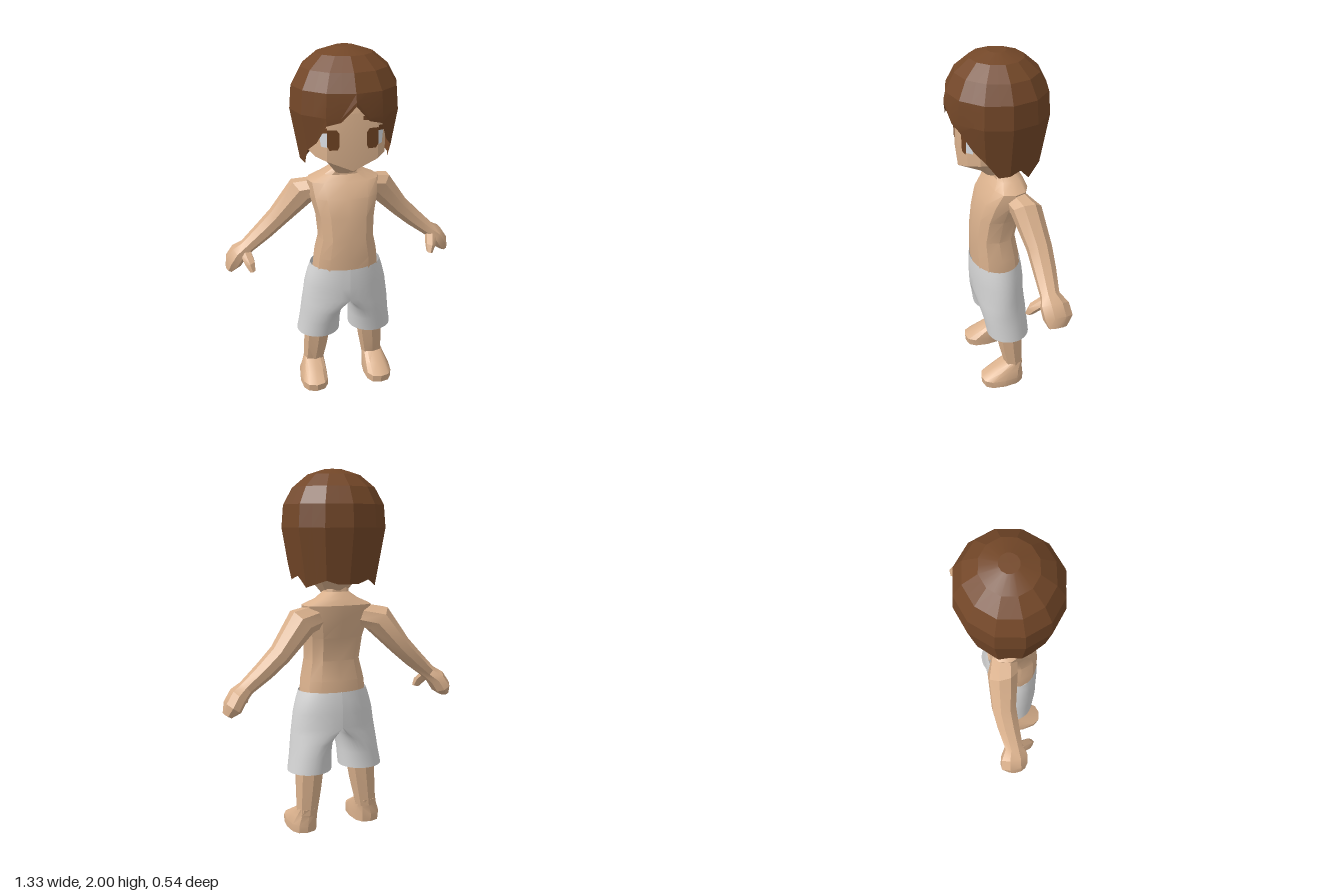
import * as THREE from 'three';
import { toCreasedNormals } from 'three/addons/utils/BufferGeometryUtils.js';

const material = (name, color, side = THREE.FrontSide) => {
  const m = new THREE.MeshStandardMaterial({ color, side });
  m.name = name;
  return m;
};
const softPow = (v, e) => Math.sign(v) * Math.pow(Math.abs(v), e);

// Horizontal cross-section; e below 1 makes it boxier
function ring(y, cx, rx, cz, rz, n = 12, e = 0.75) {
  return Array.from({ length: n }, (_, i) => {
    const a = (i / n) * Math.PI * 2;
    return [cx + rx * softPow(Math.cos(a), e), y, cz - rz * softPow(Math.sin(a), e)];
  });
}

// Cross-section square to a direction in the xy plane (angle in radians)
function limbRing([x, y, z], angle, ru, rv, n = 8) {
  const ux = -Math.sin(angle), uy = Math.cos(angle);
  return Array.from({ length: n }, (_, i) => {
    const a = ((i + 0.5) / n) * Math.PI * 2, u = ru * Math.cos(a);
    return [x + ux * u, y + uy * u, z + rv * Math.sin(a)];
  });
}

// Mirrors across x when side is -1, then sets normals
function finish(geo, crease, side = 1) {
  if (side < 0) {
    geo.scale(-1, 1, 1);
    const ix = geo.index.array;
    for (let i = 0; i < ix.length; i += 3) [ix[i + 1], ix[i + 2]] = [ix[i + 2], ix[i + 1]];
  }
  const flat = geo.toNonIndexed();
  flat.deleteAttribute('uv');
  flat.computeVertexNormals();
  return crease > 0 ? toCreasedNormals(flat, crease) : flat;
}

// Skins a list of rings, with optional fan caps
function loft(rings, { crease = 0.5, side = 1, bottom = true, top = true } = {}) {
  const n = rings[0].length, pos = rings.flat(2), index = [];
  for (let i = 0; i < rings.length - 1; i++)
    for (let j = 0; j < n; j++) {
      const a = i * n + j, b = i * n + ((j + 1) % n);
      index.push(a, b, b + n, a, b + n, a + n);
    }
  const cap = (row, up) => {
    const c = pos.length / 3;
    for (let k = 0; k < 3; k++) pos.push(rings[row].reduce((s, p) => s + p[k], 0) / n);
    for (let j = 0; j < n; j++) {
      const a = row * n + j, b = row * n + ((j + 1) % n);
      index.push(...(up ? [a, b, c] : [b, a, c]));
    }
  };
  if (bottom) cap(0, false);
  if (top) cap(rings.length - 1, true);
  const geo = new THREE.BufferGeometry();
  geo.setAttribute('position', new THREE.Float32BufferAttribute(pos, 3));
  geo.setIndex(index);
  return finish(geo, crease, side);
}

// Front of the face: two flat facets on each side
const faceZ = (x) => (x < 0.132 ? 0.21 - (x / 0.132) * 0.017 : 0.193 - ((x - 0.132) / 0.051) * 0.054);

// Thin painted patch lying on the face
function decal(points, side, lift = 0.004) {
  const geo = new THREE.ShapeGeometry(new THREE.Shape(points.map((p) => new THREE.Vector2(...p))));
  const p = geo.attributes.position;
  for (let i = 0; i < p.count; i++) p.setZ(i, faceZ(p.getX(i)) + lift);
  return finish(geo, 0, side);
}

function headGeometry() {
  const row = (y, rx, rz, drop = 0) =>
    ring(y, 0, rx, 0, rz, 12, 0.6).map(([x, yy, z]) => [
      x, yy + drop * Math.min(1, Math.abs(x) / (rx * 0.85)), z < 0 ? z * 0.85 : z]);
  return loft([
    row(1.34, 0.06, 0.07), row(1.37, 0.12, 0.14, 0.05), row(1.4, 0.2, 0.21, 0.07),
    row(1.7, 0.2, 0.21), row(1.85, 0.16, 0.16),
  ], { crease: 0.35 });
}

// Dome of hair whose lower rim is cut into locks, listed from front to back
function hairGeometry() {
  const rim = [1.75, 1.67, 1.65, 1.55, 1.5, 1.41, 1.42, 1.44, 1.38, 1.4, 1.42, 1.4, 1.4];
  const n = 24;
  const row = (fn) => Array.from({ length: n }, (_, i) => {
    const fromFront = Math.min(i, n - i), a = (i / n) * Math.PI * 2;
    const [y, f] = fn(rim[fromFront]);
    const r = f * (i % 2 ? Math.cos(Math.PI / 12) : 1);
    return [0.287 * r * Math.sin(a), y, 0.272 * r * Math.cos(a)];
  });
  return loft([
    row((y) => [y, 1 - 0.18 * Math.max(0, (1.68 - y) / 0.28)]),
    row((y) => [Math.max(1.69, y + 0.02), 1]),
    row(() => [1.81, 0.965]), row(() => [1.9, 0.79]),
    row(() => [1.965, 0.51]), row(() => [1.995, 0.18]),
  ], { crease: 0.22, bottom: false });
}

// One half of the shorts: a leg tube blending into half of the waist
function shortsGeometry(side) {
  const n = 32;
  // y, blend to waist, waist rx, cz, rz
  const rows = [
    [0.35, 0, 0.28, -0.02, 0.122], [0.44, 0.08, 0.265, -0.01, 0.126], [0.51, 0.3, 0.257, -0.002, 0.134],
    [0.56, 0.7, 0.252, 0.003, 0.142], [0.6, 1, 0.246, 0.006, 0.148], [0.68, 1, 0.235, 0.008, 0.149],
    [0.75, 1, 0.217, 0.012, 0.146], [0.8, 1, 0.2, 0.015, 0.14],
  ];
  const rings = rows.map(([y, t, rx, cz, rz]) => Array.from({ length: n }, (_, i) => {
    const a = (i / n) * Math.PI * 2, c = Math.cos(a);
    const legR = (rx - 0.03) / 2, leg = rx - legR + legR * c;
    return [THREE.MathUtils.lerp(leg, Math.max(0, rx * c), t), y, cz - rz * Math.sin(a)];
  }));
  return loft(rings, { crease: 0.8, side, bottom: false, top: false });
}

export function createModel() {
  const skin = material('skin', 0xd9b08c);
  const hair = material('brown hair', 0x734728, THREE.DoubleSide);
  const cloth = material('light grey cloth', 0xd4d4d4, THREE.DoubleSide);
  const iris = material('brown eye', 0x6e4222);
  const white = material('eye white', 0xd8dce2);

  const model = new THREE.Group();
  model.name = 'figure';
  const add = (name, geo, mat) => {
    const mesh = new THREE.Mesh(geo, mat);
    mesh.name = name;
    model.add(mesh);
  };

  add('head', headGeometry(), skin);
  add('hair', hairGeometry(), hair);

  // Torso and neck: y, rx, cz, rz
  const torso = [
    [0.76, 0.19, 0.015, 0.13], [0.86, 0.18, 0.02, 0.128], [0.97, 0.155, 0.03, 0.118],
    [1.1, 0.165, 0.01, 0.122], [1.2, 0.19, -0.015, 0.12], [1.28, 0.2, -0.045, 0.1],
    [1.315, 0.12, -0.05, 0.075], [1.35, 0.07, -0.035, 0.06], [1.44, 0.065, -0.02, 0.06],
  ];
  add('torso', loft(torso.map(([y, rx, cz, rz]) => ring(y, 0, rx, cz, rz))), skin);

  for (const side of [1, -1]) {
    const label = side > 0 ? 'left' : 'right';
    add(label + 'ShortsHalf', shortsGeometry(side), cloth);

    // Arm and hand: centre, direction, thickness, depth
    add(label + 'Arm', loft([
      limbRing([0.12, 1.22, -0.06], -0.4, 0.07, 0.07),
      limbRing([0.22, 1.2, -0.095], -0.75, 0.085, 0.082),
      limbRing([0.355, 1.04, -0.125], -0.8, 0.06, 0.068),
      limbRing([0.44, 0.96, -0.125], -0.75, 0.053, 0.062),
      limbRing([0.54, 0.875, -0.12], -0.75, 0.042, 0.052),
      limbRing([0.585, 0.84, -0.13], -0.8, 0.05, 0.078),
      limbRing([0.62, 0.785, -0.138], -0.95, 0.05, 0.08),
      limbRing([0.645, 0.742, -0.13], -1.1, 0.025, 0.05),
    ], { side }), skin);
    add(label + 'Thumb', loft([
      limbRing([0.555, 0.86, -0.1], -1.7, 0.035, 0.035, 6),
      limbRing([0.535, 0.81, -0.045], -1.8, 0.032, 0.036, 6),
      limbRing([0.523, 0.768, -0.018], -1.8, 0.018, 0.022, 6),
    ], { side }), skin);

    add(label + 'Leg', loft([
      ring(0.1, 0.183, 0.06, -0.05, 0.052, 8), ring(0.24, 0.168, 0.072, -0.035, 0.07, 8),
      ring(0.45, 0.148, 0.085, -0.02, 0.086, 8),
    ], { side }), skin);
    add(label + 'Foot', loft([
      ring(0, 0.196, 0.08, 0.025, 0.125, 12), ring(0.045, 0.196, 0.08, 0.025, 0.13, 12),
      ring(0.09, 0.188, 0.068, -0.01, 0.088, 12), ring(0.135, 0.182, 0.057, -0.052, 0.05, 12),
    ], { side }), skin);

    // Eyes, lashes and brows
    add(label + 'Iris', decal([[0.08, 1.515], [0.12, 1.515], [0.132, 1.535], [0.132, 1.62],
      [0.085, 1.62], [0.07, 1.6], [0.07, 1.535]], side), iris);
    add(label + 'EyeWhite', decal([[0.132, 1.53], [0.158, 1.53], [0.168, 1.61], [0.132, 1.61]], side), white);
    add(label + 'Lash', decal([[0.132, 1.605], [0.172, 1.595], [0.165, 1.622], [0.132, 1.632]], side, 0.006), iris);
    add(label + 'Brow', decal([[0.05, 1.665], [0.125, 1.655], [0.125, 1.672], [0.05, 1.685]], side), hair);
  }
  return model;
}
